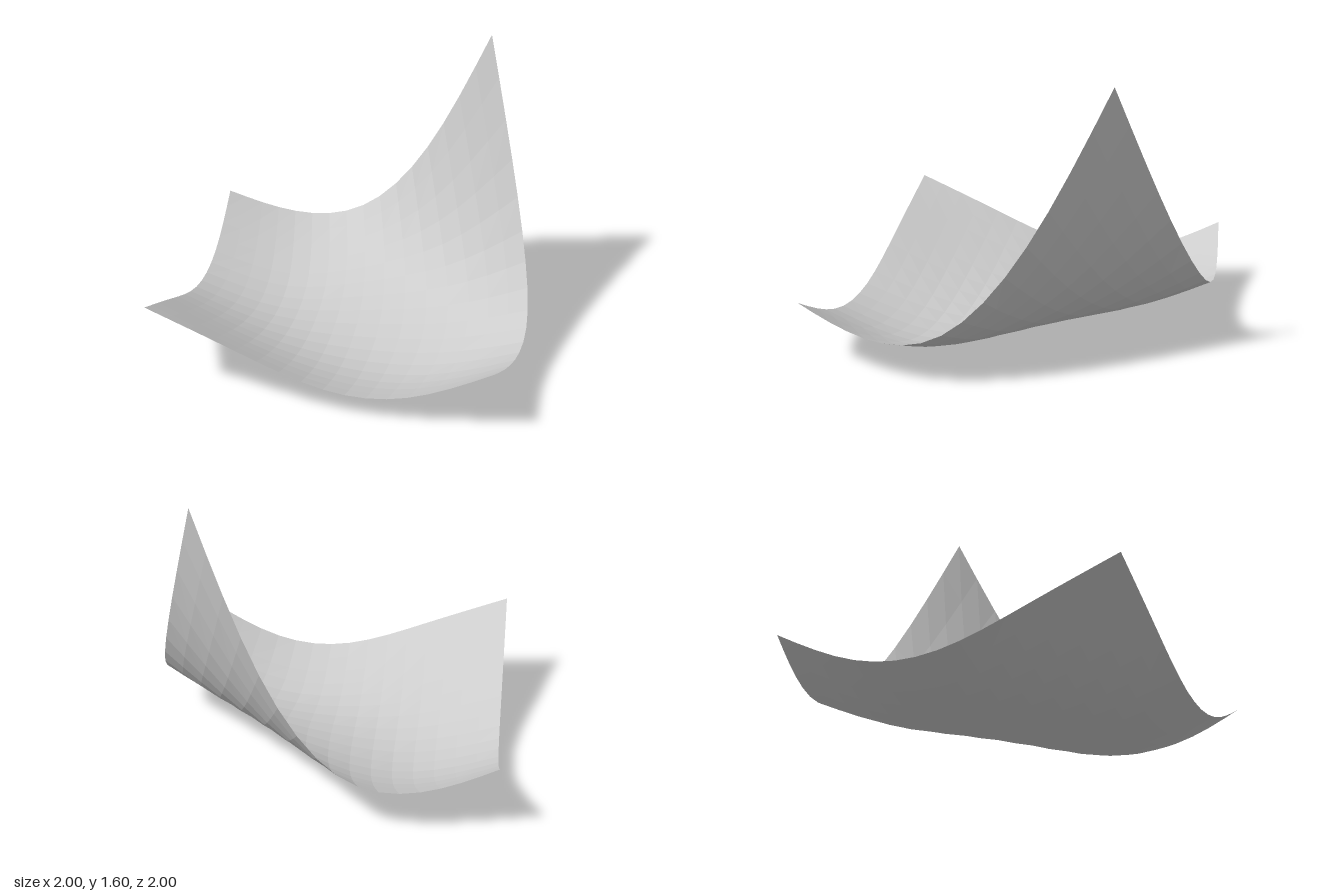
import * as THREE from 'three';

// Half of a 5 x 5 grid of points the sheet passes through (row i runs left edge to
// right edge, entries j <= i run front to back). The rest mirrors over the diagonal.
const HALF = [
  [[-0.94, 0.515, 0.94]],
  [[-0.46, 0.32, 0.95], [-0.48, 0.13, 0.48]],
  [[0.02, 0.148, 0.96], [0.01, 0.016, 0.49], [0, 0.022, 0]],
  [[0.47, 0.163, 0.975], [0.5, 0.042, 0.52], [0.53, 0.12, 0.06], [0.42, 0.37, -0.42]],
  [[0.91, 0.365, 1], [0.975, 0.235, 0.6], [0.99, 0.308, 0.17], [0.865, 0.79, -0.25], [0.64, 1.597, -0.64]],
];

function gridPoint(i, j) {
  if (j <= i) return HALF[i][j];
  const [x, y, z] = HALF[j][i];
  return [-z, y, -x];
}

// Weights of five evenly spaced points for a natural cubic spline (straight at its ends)
const INVERSE = [[15, -4, 1], [-4, 16, -4], [1, -4, 15]];
function weights(t) {
  const k = Math.min(3, Math.floor(4 * t));
  const b = 4 * t - k, a = 1 - b;
  return [0, 1, 2, 3, 4].map((i) => {
    const e = [0, 0, 0, 0, 0];
    e[i] = 1;
    const bend = [0, 1, 2].map((n) => e[n] - 2 * e[n + 1] + e[n + 2]);
    const m = [0, ...INVERSE.map((r) => (6 / 56) * (r[0] * bend[0] + r[1] * bend[1] + r[2] * bend[2])), 0];
    return a * e[k] + b * e[k + 1] + ((a ** 3 - a) * m[k] + (b ** 3 - b) * m[k + 1]) / 6;
  });
}

function surfacePoint(s, t) {
  const ws = weights(s), wt = weights(t);
  const p = [0, 0, 0];
  for (let i = 0; i < 5; i++) {
    for (let j = 0; j < 5; j++) {
      const g = gridPoint(i, j);
      for (let k = 0; k < 3; k++) p[k] += ws[i] * wt[j] * g[k];
    }
  }
  return p;
}

export function createModel() {
  const group = new THREE.Group();
  group.name = 'curvedSheet';

  // Bend a flat grid into the sagging sheet with one tall corner
  const geometry = new THREE.PlaneGeometry(1, 1, 16, 16);
  const pos = geometry.attributes.position;
  for (let n = 0; n < pos.count; n++) {
    pos.setXYZ(n, ...surfacePoint(pos.getX(n) + 0.5, pos.getY(n) + 0.5));
  }

  // Rest the lowest point on the ground
  geometry.computeBoundingBox();
  geometry.translate(0, -geometry.boundingBox.min.y, 0);
  geometry.computeVertexNormals();

  const material = new THREE.MeshStandardMaterial({
    color: 0xcccccc,
    flatShading: true,
    side: THREE.DoubleSide,
  });
  const sheet = new THREE.Mesh(geometry, material);
  sheet.name = 'sheet';
  group.add(sheet);
  return group;
}
